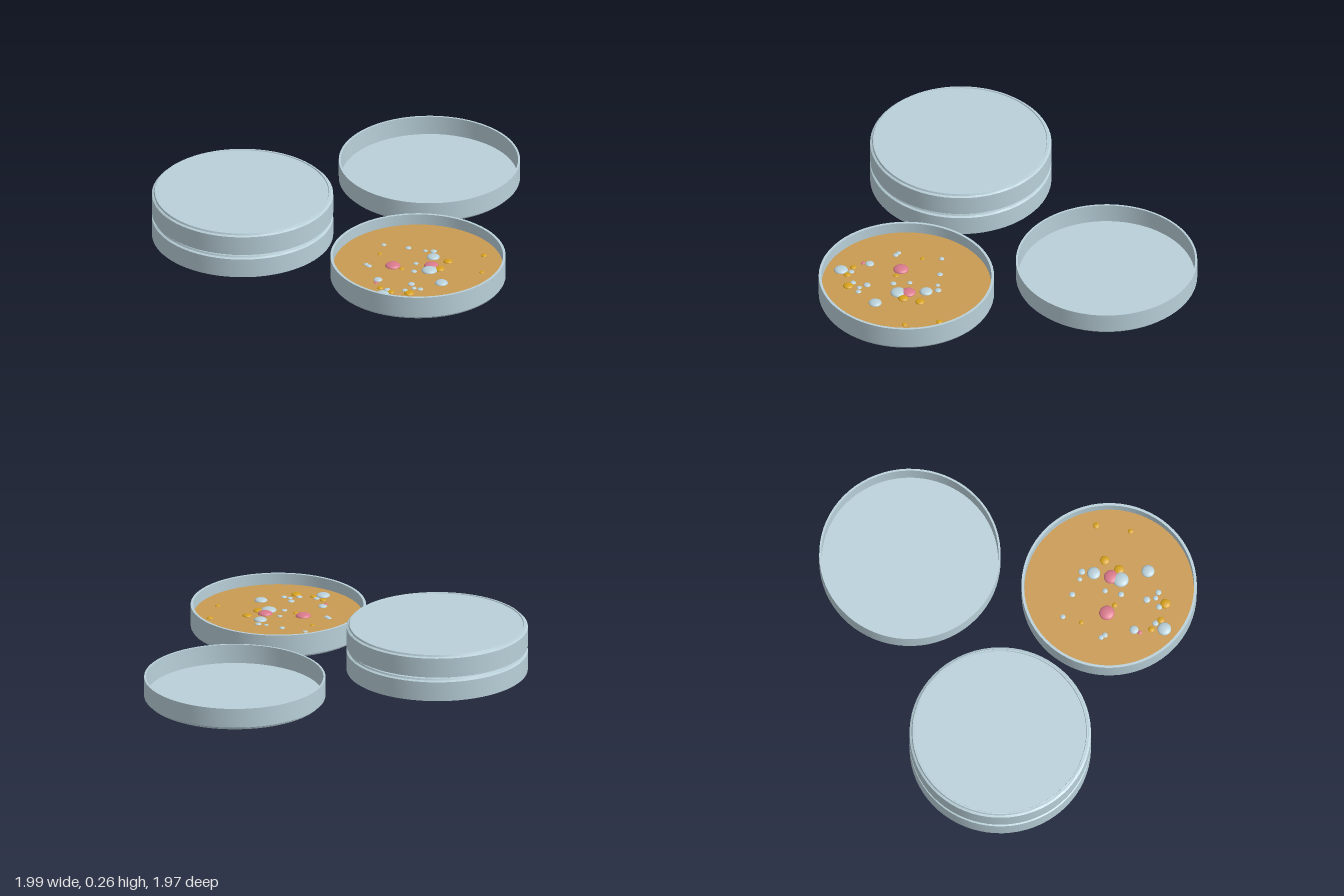
import * as THREE from 'three';
import { toCreasedNormals } from 'three/addons/utils/BufferGeometryUtils.js';

const material = (name, color) => {
  const m = new THREE.MeshStandardMaterial({ color });
  m.name = name;
  return m;
};

// Closed turned shape from [radius, height] pairs
const turned = (points) => toCreasedNormals(
  new THREE.LatheGeometry(points.map(([r, y]) => new THREE.Vector2(r, y)), 72), 0.5);

export function createModel() {
  const model = new THREE.Group();
  model.name = 'petriDishes';
  const glass = material('paleBlueGlass', 0xb9d0d9);
  const agar = material('amberAgar', 0xc99a52);
  const yellow = material('yellowColony', 0xd6a21c);
  const pink = material('pinkColony', 0xd9798c);

  const add = (parent, name, geometry, mat, x, y, z) => {
    const mesh = new THREE.Mesh(geometry, mat);
    mesh.name = name;
    mesh.position.set(x, y, z);
    parent.add(mesh);
    return mesh;
  };

  // Lid lying open side up, with a low stacking rim on its outer face
  const lidGeometry = turned([
    [0, 0.005], [0.458, 0.005], [0.46, 0], [0.468, 0], [0.472, 0.009], [0.483, 0.015],
    [0.483, 0.122], [0.472, 0.122], [0.47, 0.018], [0, 0.018],
  ]);
  const dishGeometry = turned([
    [0, 0], [0.455, 0], [0.462, 0.003], [0.467, 0.012], [0.467, 0.13],
    [0.453, 0.13], [0.452, 0.015], [0, 0.015],
  ]);

  // Two closed dishes, stacked
  const stack = new THREE.Group();
  stack.name = 'closedStack';
  stack.position.set(-0.516, 0, 0.412);
  model.add(stack);
  [['lower', 0.008, 0.123], ['upper', 0.124, 0.258]].forEach(([level, base, top]) => {
    const dish = add(stack, level + 'Dish', dishGeometry, glass, 0, base, 0);
    dish.scale.set(0.995, (top - base - 0.02) / 0.13, 0.995);
    const lid = add(stack, level + 'Lid', lidGeometry, glass, 0, top, 0);
    lid.rotation.x = Math.PI;
  });

  // Removed lid, upside down
  add(model, 'openLid', lidGeometry, glass, 0.192, 0, -0.507);

  // Open dish filled with agar
  add(model, 'openDish', dishGeometry, glass, 0.528, 0, 0.515);
  const agarTop = 0.07;
  add(model, 'agar', new THREE.CylinderGeometry(0.4515, 0.4515, 0.054, 72), agar,
    0.528, agarTop - 0.027, 0.515);

  // Colonies: flattened domes given as [x, z, radius]
  const dome = new THREE.SphereGeometry(1, 20, 8, 0, Math.PI * 2, 0, Math.PI / 2);
  const grow = (name, mat, spots) => {
    const group = new THREE.Group();
    group.name = name;
    model.add(group);
    spots.forEach(([x, z, r]) =>
      add(group, 'colony', dome, mat, x, agarTop, z).scale.set(r, r * 0.4, r));
  };
  grow('paleColonies', glass, [
    [0.57, 0.4, 0.035], [0.605, 0.545, 0.042], [0.715, 0.65, 0.035], [0.467, 0.88, 0.037],
    [0.387, 0.74, 0.024], [0.275, 0.37, 0.014], [0.41, 0.355, 0.016], [0.505, 0.35, 0.013],
    [0.548, 0.34, 0.018], [0.51, 0.5, 0.014], [0.532, 0.585, 0.016], [0.267, 0.605, 0.014],
    [0.288, 0.617, 0.015], [0.57, 0.72, 0.019], [0.6, 0.757, 0.014], [0.635, 0.755, 0.016],
    [0.564, 0.797, 0.016], [0.473, 0.823, 0.016],
  ]);
  grow('yellowColonies', yellow, [
    [0.815, 0.285, 0.017], [0.662, 0.417, 0.025], [0.65, 0.51, 0.027], [0.872, 0.462, 0.014],
    [0.292, 0.472, 0.012], [0.462, 0.583, 0.014], [0.432, 0.82, 0.017], [0.502, 0.84, 0.019],
    [0.596, 0.818, 0.027],
  ]);
  grow('pinkColonies', pink, [
    [0.404, 0.567, 0.041], [0.595, 0.492, 0.039], [0.388, 0.775, 0.012],
  ]);

  return model;
}
